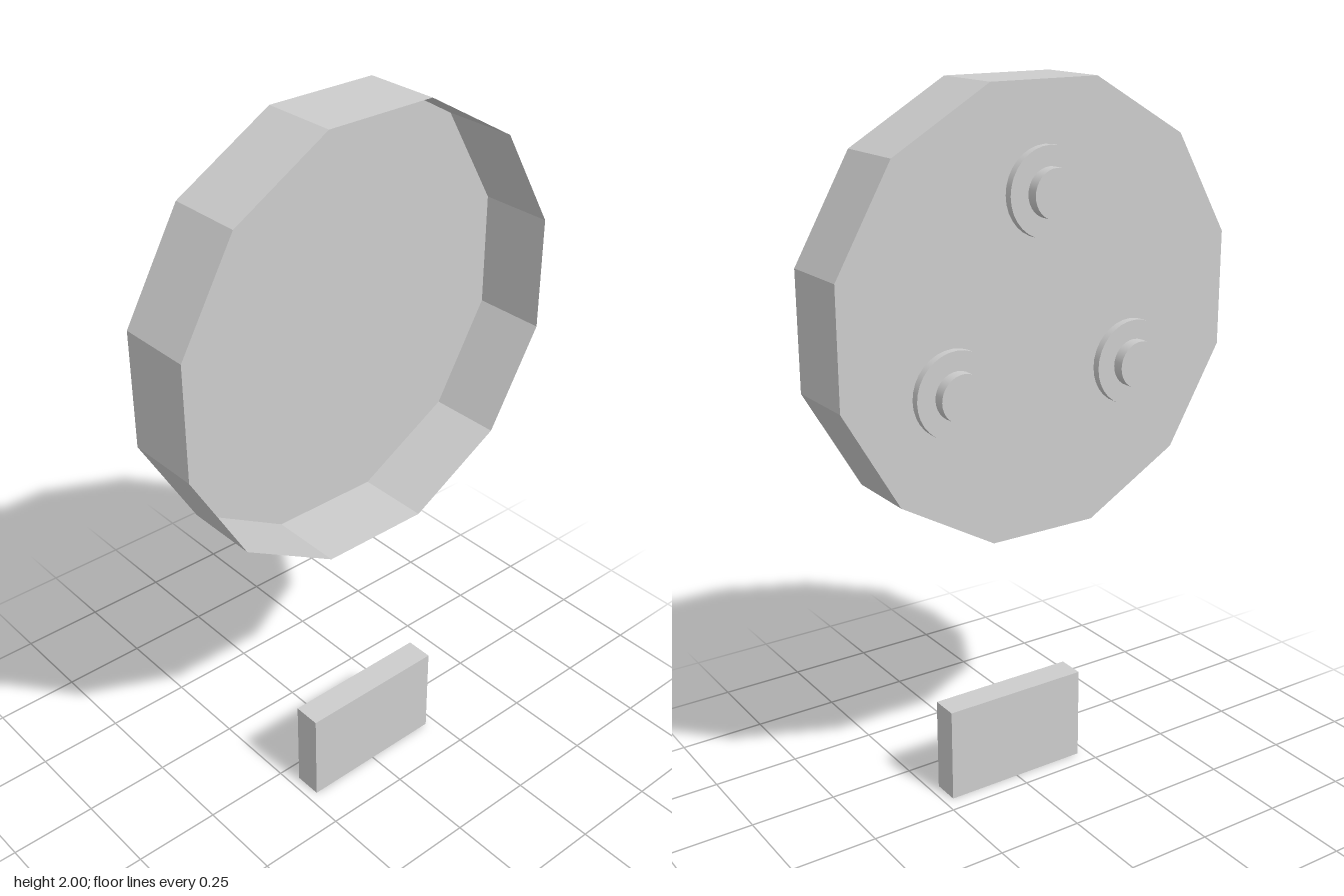
import * as THREE from 'three';

const grey = new THREE.MeshStandardMaterial({ color: 0xcccccc, side: THREE.DoubleSide });
grey.name = 'plain grey';

const CENTRE_Y = 1.41, RADIUS = 0.61, BACK = -0.08, FRONT = 0.13;

function part(name, geometry, x, y, z) {
  const mesh = new THREE.Mesh(geometry, grey);
  mesh.name = name;
  mesh.position.set(x, y, z);
  return mesh;
}

// Cylinder whose axis runs along z
function disc(radius, depth) {
  return new THREE.CylinderGeometry(radius, radius, depth, 32).rotateX(Math.PI / 2);
}

export function createModel() {
  const model = new THREE.Group();
  model.name = 'panelWithStuds';

  // Open-fronted twelve-sided tray: faceted rim and back panel
  const tray = new THREE.Group();
  tray.name = 'tray';
  const rim = new THREE.CylinderGeometry(RADIUS, RADIUS, FRONT - BACK, 12, 1, true, Math.PI / 12)
    .rotateX(Math.PI / 2).toNonIndexed();
  rim.computeVertexNormals();
  tray.add(part('rim', rim, 0, CENTRE_Y, (FRONT + BACK) / 2));
  const back = new THREE.CircleGeometry(RADIUS, 12, Math.PI / 12).rotateY(Math.PI);
  tray.add(part('backPanel', back, 0, CENTRE_Y, BACK));
  model.add(tray);

  // Three stepped studs on the back, evenly spaced in a ring
  for (let i = 0; i < 3; i++) {
    const a = Math.PI / 2 + i * Math.PI * 2 / 3;
    const stud = new THREE.Group();
    stud.name = 'stud' + (i + 1);
    stud.position.set(0.318 * Math.cos(a), CENTRE_Y + 0.318 * Math.sin(a), BACK);
    stud.add(part('studFlange', disc(0.116, 0.022), 0, 0, -0.011));
    stud.add(part('studKnob', disc(0.064, 0.033), 0, 0, -0.0375));
    model.add(stud);
  }

  // Separate small plate below
  model.add(part('lowerPlate', new THREE.BoxGeometry(0.44, 0.275, 0.08), 0, 0.1375, 0.09));

  return model;
}
